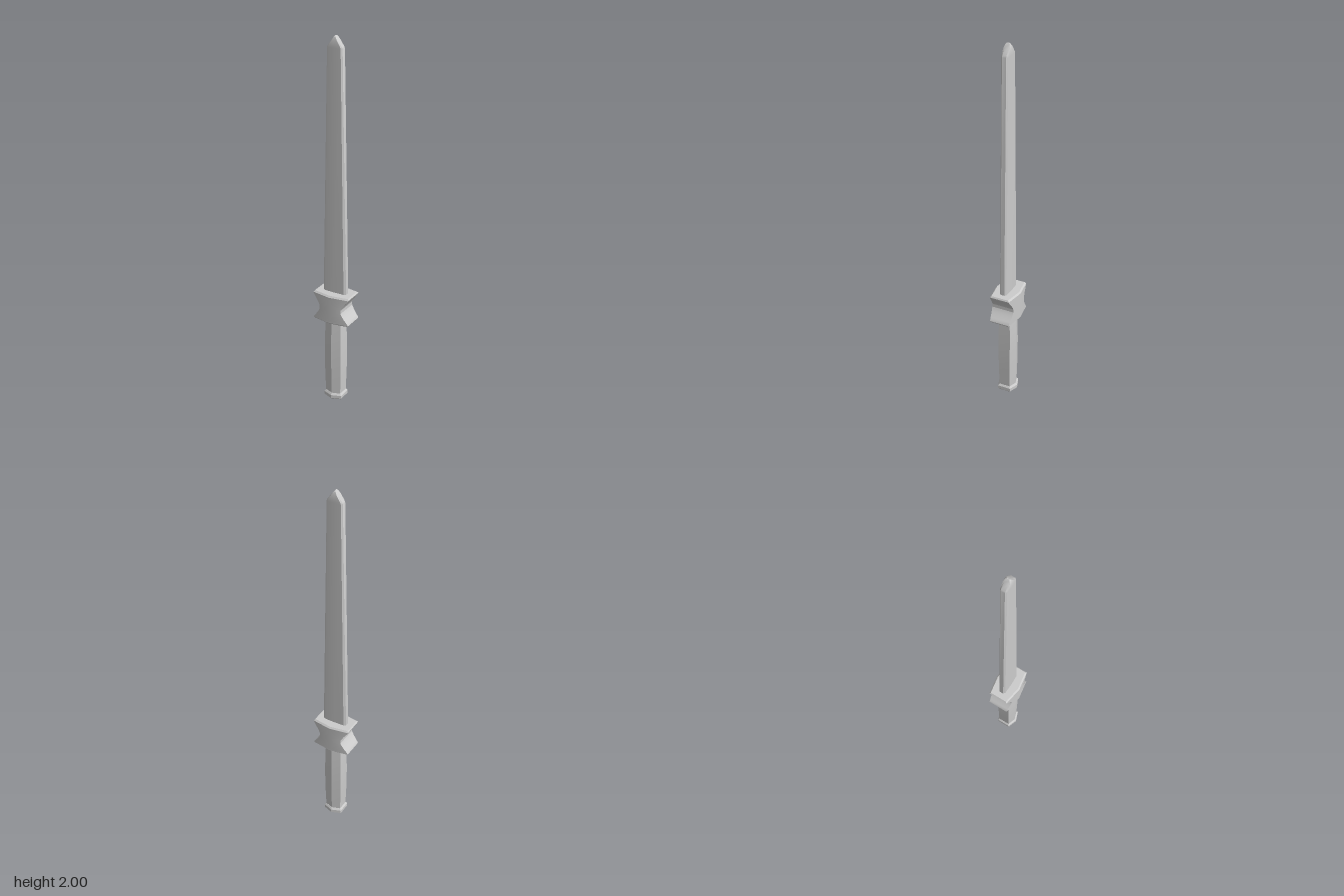
import * as THREE from 'three';
import { toCreasedNormals } from 'three/addons/utils/BufferGeometryUtils.js';

// Six-sided section: half width, half depth at the sides, half depth at the middle ridge
const hex = (w, e, r) => [[w, -e], [0, -r], [-w, -e], [-w, e], [0, r], [w, e]];

// Blade section: narrow edge, bevel, then a shallow ridge in the middle
function bladeSection(w, e, t, r) {
  const half = [[w, -e], [w * 0.84, -t], [0, -r], [-w * 0.84, -t], [-w, -e]];
  return [...half, ...half.map(([x, z]) => [-x, -z])];
}

// Skin a stack of { y, pts } sections and close both ends
function loft(name, rings, crease) {
  const n = rings[0].pts.length;
  const pos = [];
  const idx = [];
  rings.forEach(({ y, pts }) => pts.forEach(([x, z]) => pos.push(x, y, z)));
  for (let k = 0; k < rings.length - 1; k++) {
    for (let i = 0; i < n; i++) {
      const j = (i + 1) % n;
      const a = k * n + i, b = k * n + j;
      idx.push(a, b, b + n, a, b + n, a + n);
    }
  }
  const bottom = pos.length / 3;
  pos.push(0, rings[0].y, 0, 0, rings[rings.length - 1].y, 0);
  const last = (rings.length - 1) * n;
  for (let i = 0; i < n; i++) {
    const j = (i + 1) % n;
    idx.push(bottom, j, i, bottom + 1, last + i, last + j);
  }
  const geo = new THREE.BufferGeometry();
  geo.setAttribute('position', new THREE.Float32BufferAttribute(pos, 3));
  geo.setIndex(idx);
  const material = new THREE.MeshStandardMaterial({ color: 0xcccccc });
  const mesh = new THREE.Mesh(toCreasedNormals(geo, crease), material);
  mesh.name = name;
  return mesh;
}

export function createModel() {
  const group = new THREE.Group();
  group.name = 'sword';

  // Tapered blade with a pointed, slightly rounded tip
  const blade = [
    [0.62, 0.068, 0.011, 0.019, 0.021],
    [1.94, 0.043, 0.011, 0.018, 0.02],
    [1.95, 0.039, 0.011, 0.018, 0.02],
    [1.98, 0.016, 0.011, 0.017, 0.018],
    [1.994, 0.006, 0.009, 0.012, 0.013],
    [2.0, 0.001, 0.004, 0.006, 0.006],
  ].map(([y, ...s]) => ({ y, pts: bladeSection(...s) }));
  group.add(loft('blade', blade, 0.45));

  // Hexagonal guard, pinched at the waist, with bevelled rims
  const lo = 0.475, hi = 0.64, bevel = 0.008;
  const rim = hex(0.099, 0.048, 0.064);
  const guard = [{ y: lo, pts: rim }];
  const steps = 16;
  for (let i = 0; i <= steps; i++) {
    const t = (i / steps) * 2 - 1;
    const y = (lo + hi) / 2 + t * ((hi - lo) / 2 - bevel);
    const a = Math.max(0, (Math.abs(t) - 0.12) / 0.88);
    const w = 0.063 + 0.041 * Math.min(1, Math.pow(a, 1.25) * 1.1);
    guard.push({ y, pts: hex(w, 0.072 - 0.017 * (w / 0.104), 0.072) });
  }
  guard.push({ y: hi, pts: rim });
  group.add(loft('guard', guard, 0.4));

  // Grip with a gentle swell
  const grip = [
    [0.03, 0.044, 0.03, 0.045],
    [0.12, 0.047, 0.032, 0.048],
    [0.2, 0.049, 0.033, 0.05],
    [0.3, 0.049, 0.034, 0.051],
    [0.4, 0.047, 0.033, 0.049],
    [0.49, 0.044, 0.03, 0.043],
  ].map(([y, ...s]) => ({ y, pts: hex(...s) }));
  group.add(loft('grip', grip, 0.3));

  // Bevelled pommel cap
  const pommel = [
    [0, 0.045, 0.03, 0.047],
    [0.008, 0.052, 0.036, 0.055],
    [0.026, 0.052, 0.036, 0.055],
    [0.036, 0.045, 0.031, 0.047],
  ].map(([y, ...s]) => ({ y, pts: hex(...s) }));
  group.add(loft('pommel', pommel, 0.3));

  return group;
}
